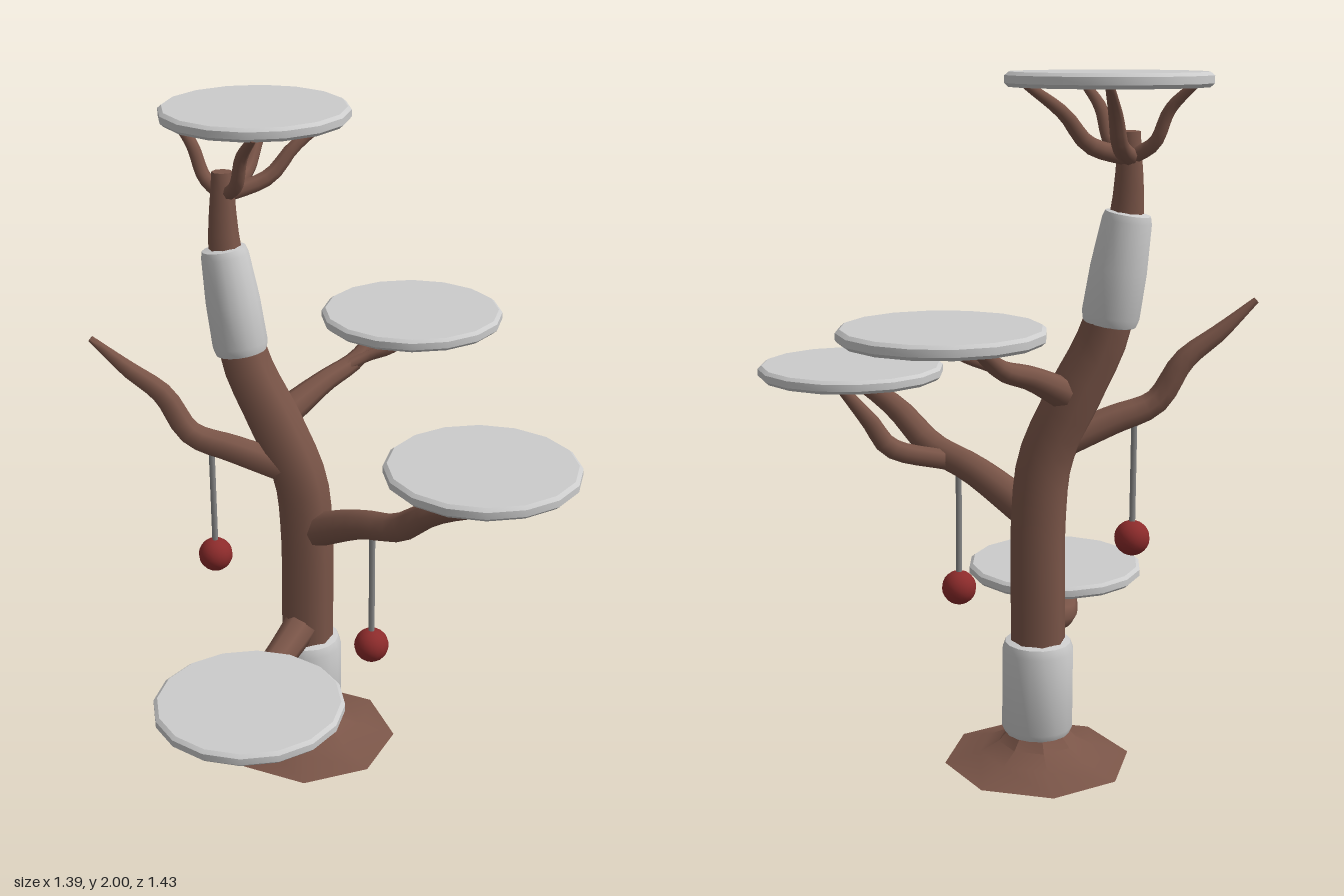
import * as THREE from 'three';
import { toCreasedNormals } from 'three/addons/utils/BufferGeometryUtils.js';

const bark = new THREE.MeshStandardMaterial({ color: 0x7a5548, side: THREE.DoubleSide });
const grey = new THREE.MeshStandardMaterial({ color: 0xcccccc });
const cord = new THREE.MeshStandardMaterial({ color: 0x888888 });
const red = new THREE.MeshStandardMaterial({ color: 0x8c2b2b });

// Tapered limb swept through points [x, y, z, radius], closed at both ends
function limbGeometry(points, steps = 4, sides = 8) {
  const curve = new THREE.CatmullRomCurve3(points.map(p => new THREE.Vector3(p[0], p[1], p[2])));
  const n = (points.length - 1) * steps;
  const frames = curve.computeFrenetFrames(n);
  const pos = [], index = [];
  for (let i = 0; i <= n; i++) {
    const u = i / n, c = curve.getPointAt(u);
    const t = curve.getUtoTmapping(u) * (points.length - 1);
    const k = Math.min(Math.floor(t), points.length - 2);
    const r = THREE.MathUtils.lerp(points[k][3], points[k + 1][3], t - k);
    for (let j = 0; j < sides; j++) {
      const a = (j / sides) * Math.PI * 2;
      const v = c.clone()
        .addScaledVector(frames.normals[i], Math.cos(a) * r)
        .addScaledVector(frames.binormals[i], Math.sin(a) * r);
      pos.push(v.x, v.y, v.z);
      if (i < n) {
        const p = i * sides + j, q = i * sides + (j + 1) % sides;
        index.push(p, q, p + sides, q, q + sides, p + sides);
      }
    }
  }
  for (let j = 1; j < sides - 1; j++) {
    index.push(0, j + 1, j);
    index.push(n * sides, n * sides + j, n * sides + j + 1);
  }
  const g = new THREE.BufferGeometry();
  g.setAttribute('position', new THREE.Float32BufferAttribute(pos, 3));
  g.setIndex(index);
  return toCreasedNormals(g, Math.PI / 3);
}

function lathe(profile, sides, crease) {
  const g = new THREE.LatheGeometry(profile.map(p => new THREE.Vector2(p[0], p[1])), sides);
  return toCreasedNormals(g, crease);
}

export function createModel() {
  const model = new THREE.Group();
  const add = (name, geometry, material, x = 0, y = 0, z = 0) => {
    const m = new THREE.Mesh(geometry, material);
    m.name = name;
    m.position.set(x, y, z);
    model.add(m);
    return m;
  };

  // Trunk, straight below and leaning towards the top
  add('trunk', limbGeometry([
    [-0.19, 0.005, -0.01, 0.08], [-0.19, 0.4, -0.01, 0.08], [-0.19, 0.76, -0.01, 0.08],
    [-0.205, 0.92, 0, 0.08], [-0.27, 1.1, 0.04, 0.08], [-0.34, 1.28, 0.085, 0.073],
    [-0.378, 1.48, 0.1, 0.06], [-0.395, 1.64, 0.11, 0.046], [-0.4, 1.84, 0.105, 0.03],
  ]), bark);

  // Flared octagonal foot
  add('rootFlare', lathe([[0.275, 0], [0.17, 0.03], [0.115, 0.06], [0.08, 0.1]], 8, 0.6),
    bark, -0.19, 0, -0.01);

  // Scratching sleeves
  add('lowerSleeve', lathe([[0.075, 0.085], [0.096, 0.09], [0.105, 0.11], [0.105, 0.345],
    [0.096, 0.37], [0.075, 0.375]], 16, 0.9), grey, -0.19, 0, -0.01);
  const upper = add('upperSleeve', lathe([[0.06, -0.16], [0.075, -0.155], [0.082, -0.13],
    [0.08, 0], [0.07, 0.135], [0.064, 0.155], [0.04, 0.16]], 16, 0.9), grey, -0.374, 1.465, 0.102);
  upper.quaternion.setFromUnitVectors(new THREE.Vector3(0, 1, 0),
    new THREE.Vector3(-0.045, 0.31, 0.018).normalize());

  // Branches
  const limbs = {
    frontBranch: [[-0.18, 0.43, 0.02, 0.055], [-0.14, 0.39, 0.14, 0.048],
      [-0.1, 0.362, 0.26, 0.04], [0.02, 0.39, 0.45, 0.028], [0.1, 0.375, 0.61, 0.016]],
    leftBranch: [[-0.17, 0.75, -0.012, 0.055], [0.04, 0.85, -0.015, 0.046],
      [0.2, 0.9, -0.015, 0.043], [0.34, 1.0, -0.015, 0.036], [0.61, 1.11, -0.02, 0.016]],
    leftBranchFork: [[0.12, 0.865, -0.02, 0.03], [0.23, 0.92, -0.17, 0.03],
      [0.26, 1.0, -0.22, 0.026], [0.3, 1.11, -0.3, 0.015]],
    rightBranch: [[-0.21, 0.95, 0.02, 0.05], [-0.33, 1.02, 0.15, 0.044],
      [-0.42, 1.07, 0.24, 0.038], [-0.48, 1.19, 0.29, 0.034],
      [-0.555, 1.27, 0.36, 0.026], [-0.63, 1.36, 0.43, 0.01]],
    backBranch: [[-0.27, 1.1, 0.03, 0.05], [-0.25, 1.18, -0.14, 0.034],
      [-0.24, 1.22, -0.26, 0.028], [-0.24, 1.28, -0.35, 0.022], [-0.24, 1.325, -0.46, 0.012]],
    backBranchFork: [[-0.25, 1.2, -0.18, 0.02], [-0.21, 1.235, -0.28, 0.017],
      [-0.15, 1.265, -0.33, 0.015], [-0.11, 1.325, -0.4, 0.01]],
  };
  for (const [name, points] of Object.entries(limbs)) add(name, limbGeometry(points), bark);

  // Four crown twigs, mirrored about the trunk top
  for (const s of [-1, 1]) {
    const side = s < 0 ? 'Right' : 'Left', x = d => -0.405 + s * d;
    add('crownFrontTwig' + side, limbGeometry([[x(0), 1.77, 0.1, 0.022], [x(0.07), 1.81, 0.11, 0.02],
      [x(0.11), 1.9, 0.12, 0.018], [x(0.18), 1.97, 0.135, 0.012]]), bark);
    add('crownBackTwig' + side, limbGeometry([[x(0), 1.77, 0.1, 0.025], [x(0.05), 1.81, -0.03, 0.024],
      [x(0.08), 1.89, -0.1, 0.02], [x(0.13), 1.97, -0.21, 0.012]]), bark);
  }

  // Round bevelled platforms
  const disc = lathe([[0, 0], [0.265, 0], [0.276, 0.01], [0.276, 0.03], [0.265, 0.039], [0, 0.039]],
    16, 0.6);
  add('topPlatform', disc, grey, -0.42, 1.961, -0.035);
  add('backPlatform', disc, grey, -0.18, 1.318, -0.44);
  add('leftPlatform', disc, grey, 0.417, 1.102, -0.125);
  add('frontPlatform', disc, grey, 0.058, 0.41, 0.435);

  // Hanging balls on cords
  for (const [name, x, y, z, top] of [
    ['left', 0.105, 0.47, -0.005, 0.86], ['right', -0.375, 0.665, 0.2, 1.05],
  ]) {
    add(name + 'Cord', new THREE.CylinderGeometry(0.009, 0.009, top - y, 8), cord, x, (top + y) / 2, z);
    add(name + 'Ball', new THREE.SphereGeometry(0.052, 16, 12), red, x, y, z);
  }
  return model;
}
